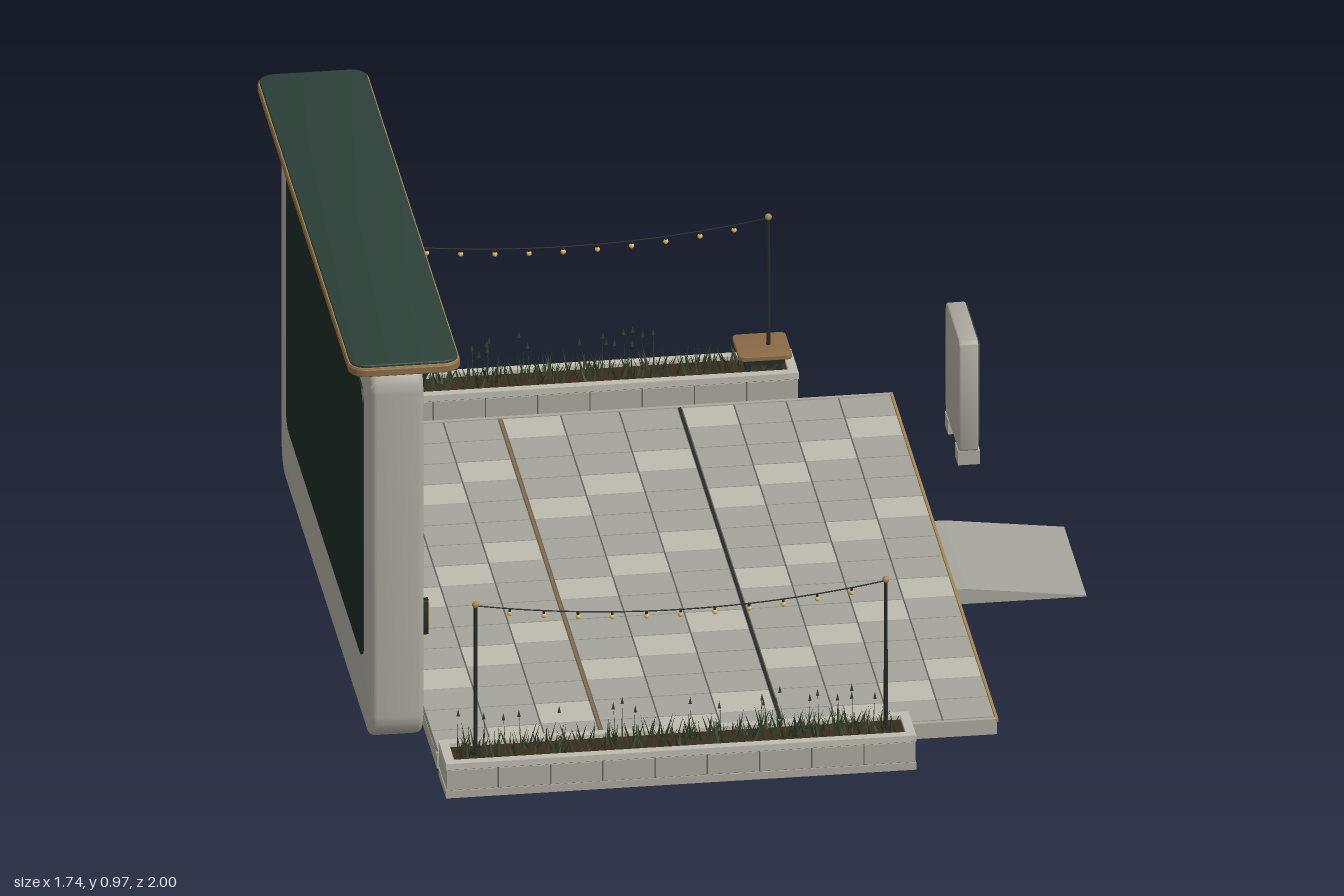
import * as THREE from 'three';
import { mergeGeometries, toCreasedNormals } from 'three/addons/utils/BufferGeometryUtils.js';

const mat = (color, side = THREE.FrontSide) => new THREE.MeshStandardMaterial({ color, side });
const STONE = mat(0xaaa79c), PALE = mat(0xbdbbae), TILE = mat(0xa5a49c), JOINT = mat(0x5f5e59);
const GREEN = mat(0x2c4038), DARKGREEN = mat(0x1d2a25), SCREEN = mat(0x202422), BLACK = mat(0x252a28);
const WOOD = mat(0x8a6a45), BRASS = mat(0xa8874f), SOIL = mat(0x3a2a1c), GLOW = mat(0xe0b45c);
const LEAF = mat(0x35412a, THREE.DoubleSide);

function add(parent, name, geometry, material) {
  const mesh = new THREE.Mesh(geometry, material);
  mesh.name = name;
  parent.add(mesh);
  return mesh;
}

// Box given by its limits on each axis
function boxGeo(x0, x1, y0, y1, z0, z1) {
  return new THREE.BoxGeometry(x1 - x0, y1 - y0, z1 - z0)
    .translate((x0 + x1) / 2, (y0 + y1) / 2, (z0 + z1) / 2);
}

function roundRect(w, h, r, Type = THREE.Shape) {
  const s = new Type(), a = w / 2, b = h / 2;
  s.moveTo(-a + r, -b);
  s.lineTo(a - r, -b).absarc(a - r, -b + r, r, -Math.PI / 2, 0);
  s.lineTo(a, b - r).absarc(a - r, b - r, r, 0, Math.PI / 2);
  s.lineTo(-a + r, b).absarc(-a + r, b - r, r, Math.PI / 2, Math.PI);
  s.lineTo(-a, -b + r).absarc(-a + r, -b + r, r, Math.PI, Math.PI * 1.5);
  return s;
}

// Rounded slab centred on the origin, extruded along z; bevel stays inside the size
function slab(w, h, depth, r, bevel = 0, hole = null) {
  const s = roundRect(w - 2 * bevel, h - 2 * bevel, r - bevel);
  if (hole) s.holes.push(hole);
  const g = new THREE.ExtrudeGeometry(s, {
    depth: depth - 2 * bevel, curveSegments: 8, bevelEnabled: bevel > 0,
    bevelThickness: bevel, bevelSize: bevel, bevelSegments: 3,
  });
  return toCreasedNormals(g.translate(0, 0, bevel - depth / 2), 0.6);
}

// Slab standing across z, facing x
function upright(x0, x1, y0, y1, z0, z1, r, bevel = 0, hole = null) {
  return slab(z1 - z0, y1 - y0, x1 - x0, r, bevel, hole).rotateY(Math.PI / 2)
    .translate((x0 + x1) / 2, (y0 + y1) / 2, (z0 + z1) / 2);
}

// Slab lying flat
function flat(x0, x1, y0, y1, z0, z1, r, bevel = 0) {
  return slab(x1 - x0, z1 - z0, y1 - y0, r, bevel).rotateX(-Math.PI / 2)
    .translate((x0 + x1) / 2, (y0 + y1) / 2, (z0 + z1) / 2);
}

function seeded(seed) {
  return () => (seed = (seed * 16807) % 2147483647) / 2147483647;
}

function makeScreenWall() {
  const g = new THREE.Group();
  g.name = 'screenWall';
  add(g, 'wallBody', upright(-0.82, -0.7, 0.005, 0.94, -0.72, 0.72, 0.07, 0.014), STONE);
  add(g, 'backPanel', upright(-0.824, -0.815, 0.165, 0.835, -0.61, 0.61, 0.04), DARKGREEN);
  add(g, 'screenFrame', upright(-0.705, -0.688, 0.16, 0.87, -0.62, 0.62, 0.03, 0.004), GREEN);
  add(g, 'screenTrim', upright(-0.69, -0.684, 0.184, 0.852, -0.586, 0.586, 0.006, 0,
    roundRect(1.156, 0.652, 0.003, THREE.Path)), BRASS);
  add(g, 'screen', boxGeo(-0.69, -0.686, 0.19, 0.846, -0.58, 0.58), SCREEN);
  for (const s of [-1, 1]) {
    const lamp = upright(-0.702, -0.685, 0.255, 0.34, -0.011, 0.011, 0.005).translate(0, 0, s * 0.675);
    add(g, 'wallLamp', lamp, BLACK);
    add(g, 'lampGlow', boxGeo(-0.686, -0.682, 0.265, 0.33, s * 0.675 - 0.005, s * 0.675 + 0.005), GLOW);
    add(g, 'ventSlot', boxGeo(-0.702, -0.698, 0.1, 0.106, s * 0.44 - 0.05, s * 0.44 + 0.05), BLACK);
    // Curved bracket under the canopy
    const arc = new THREE.QuadraticBezierCurve3(
      new THREE.Vector3(-0.697, 0.86, s * 0.655),
      new THREE.Vector3(-0.692, 0.9, s * 0.655),
      new THREE.Vector3(-0.635, 0.935, s * 0.655));
    add(g, 'canopyBracket', new THREE.TubeGeometry(arc, 12, 0.005, 8), BLACK);
    add(g, 'bracketPlate', boxGeo(-0.702, -0.694, 0.852, 0.93, s * 0.655 - 0.008, s * 0.655 + 0.008), BLACK);
  }
  return g;
}

function makeCanopy() {
  const g = new THREE.Group();
  g.name = 'canopy';
  add(g, 'canopyEdge', flat(-0.872, -0.62, 0.939, 0.957, -0.76, 0.76, 0.04, 0.003), WOOD);
  add(g, 'canopyTrim', flat(-0.87, -0.622, 0.955, 0.96, -0.758, 0.758, 0.038), BRASS);
  add(g, 'canopyTop', flat(-0.868, -0.625, 0.958, 0.966, -0.755, 0.755, 0.036, 0.003), GREEN);
  const slats = [];
  for (let i = -24; i <= 24; i++) {
    const z = i * 0.0295;
    slats.push(boxGeo(-0.86, -0.634, 0.93, 0.941, z - 0.009, z + 0.009));
  }
  add(g, 'canopySlats', mergeGeometries(slats), WOOD);
  return g;
}

function makeDeck() {
  const g = new THREE.Group();
  g.name = 'deck';
  const edges = [-0.69, -0.31, 0.095, 0.575], columns = [3, 3, 4], row = 0.104, gap = 0.0018;
  const plain = [], pale = [];
  for (let s = 0; s < 3; s++) {
    // Each bay is a separate slab with its own grid of paving
    add(g, 'deckBay', boxGeo(edges[s] + 0.001, edges[s + 1] - 0.001, 0, 0.033, -0.845, 0.845), STONE);
    add(g, 'pavingBed', boxGeo(edges[s] + 0.002, edges[s + 1] - 0.002, 0.033, 0.0345, -0.835, 0.835), JOINT);
    const w = (edges[s + 1] - edges[s] - 0.008) / columns[s];
    for (let c = 0; c < columns[s]; c++) {
      for (let r = -8; r < 8; r++) {
        const x = edges[s] + 0.004 + c * w, z = r * row;
        const tile = boxGeo(x + gap, x + w - gap, 0.034, 0.0375, z + gap, z + row - gap);
        ((c + r + 8) % 4 === 0 ? pale : plain).push(tile);
      }
    }
    if (s) add(g, 'deckSeam', boxGeo(edges[s] - 0.003, edges[s] + 0.003, 0.03, 0.0375, -0.84, 0.84), s === 1 ? WOOD : BLACK);
  }
  add(g, 'paving', mergeGeometries(plain), TILE);
  add(g, 'palePaving', mergeGeometries(pale), PALE);
  for (const s of [-1, 1]) add(g, 'deckSideTrim', boxGeo(-0.69, 0.575, 0.032, 0.0375, s * 0.84 - 0.005, s * 0.84 + 0.005), STONE);
  add(g, 'deckFrontTrim', boxGeo(0.571, 0.577, 0.03, 0.038, -0.845, 0.845), BRASS);
  // Entry ramp, a wedge extruded across z
  const wedge = new THREE.Shape();
  wedge.moveTo(0.577, 0);
  wedge.lineTo(0.87, 0).lineTo(0.87, 0.003).lineTo(0.6, 0.037).lineTo(0.577, 0.037);
  add(g, 'ramp', new THREE.ExtrudeGeometry(wedge, { depth: 0.355, bevelEnabled: false }).translate(0, 0, -0.18), TILE);
  return g;
}

function makePlanting(seed) {
  const rnd = seeded(seed), pos = [];
  for (let i = 0; i < 420; i++) {
    // Each blade is a thin leaning triangle
    const x = -0.655 + rnd() * 0.985, z = (rnd() - 0.5) * 0.07, a = rnd() * Math.PI * 2;
    const tall = i % 22 === 0, h = tall ? 0.09 + rnd() * 0.02 : 0.03 + rnd() * 0.035;
    const w = tall ? 0.002 : 0.0035, lean = tall ? 0.006 : 0.018;
    const dx = Math.cos(a), dz = Math.sin(a), b = rnd() * Math.PI * 2;
    const tx = x + Math.cos(b) * lean, tz = z + Math.sin(b) * lean;
    pos.push(x - dx * w, 0.074, z - dz * w, x + dx * w, 0.074, z + dz * w, tx, 0.074 + h, tz);
    if (tall) pos.push(tx - 0.004, 0.062 + h, tz, tx + 0.004, 0.062 + h, tz, tx, 0.08 + h, tz);
  }
  const g = new THREE.BufferGeometry();
  g.setAttribute('position', new THREE.Float32BufferAttribute(pos, 3));
  g.computeVertexNormals();
  return g;
}

function makePlanter(side) {
  const g = new THREE.Group();
  g.name = side > 0 ? 'leftPlanter' : 'rightPlanter';
  g.position.z = side * 0.9375;
  const x0 = -0.69, x1 = 0.37, d = 0.0625;
  add(g, 'planterPlinth', boxGeo(x0 + 0.003, x1 - 0.003, 0, 0.07, -d + 0.003, d - 0.003), JOINT);
  add(g, 'planterFoot', boxGeo(x0, x1, 0, 0.018, -d, d), STONE);
  // Courses of blocks with open joints
  const n = 9, w = (x1 - x0) / n, blocks = [];
  for (let i = 0; i < n; i++) blocks.push(boxGeo(x0 + i * w + 0.0015, x0 + (i + 1) * w - 0.0015, 0.02, 0.068, -d, d));
  add(g, 'planterBlocks', mergeGeometries(blocks), STONE);
  add(g, 'soil', boxGeo(x0 + 0.02, x1 - 0.02, 0.06, 0.076, -d + 0.02, d - 0.02), SOIL);
  for (const s of [-1, 1]) {
    add(g, 'planterRim', boxGeo(x0, x1, 0.07, 0.085, s * 0.052 - 0.0105, s * 0.052 + 0.0105), PALE);
    const xe = s > 0 ? x1 - 0.0105 : x0 + 0.0105;
    add(g, 'planterRim', boxGeo(xe - 0.0105, xe + 0.0105, 0.07, 0.085, -d + 0.021, d - 0.021), PALE);
  }
  add(g, 'planting', makePlanting(side > 0 ? 71 : 1307), LEAF);

  // Poles and hanging lights
  const xa = -0.615, xb = 0.31;
  for (const x of [xa, xb]) {
    add(g, 'pole', new THREE.CylinderGeometry(0.004, 0.005, 0.37, 10).translate(x, 0.26, 0), BLACK);
    add(g, 'poleFoot', new THREE.CylinderGeometry(0.011, 0.011, 0.01, 12).translate(x, 0.08, 0), BLACK);
    add(g, 'poleFinial', new THREE.SphereGeometry(0.008, 12, 8).translate(x, 0.446, 0), BRASS);
  }
  const at = t => new THREE.Vector3(xa + (xb - xa) * t, 0.443 - 0.16 * t * (1 - t), 0);
  const wire = new THREE.CatmullRomCurve3(Array.from({ length: 13 }, (_, i) => at(i / 12)));
  add(g, 'lightWire', new THREE.TubeGeometry(wire, 40, 0.0015, 6), BLACK);
  for (let i = 1; i <= 11; i++) {
    const p = at(i / 12);
    add(g, 'bulbSocket', new THREE.CylinderGeometry(0.003, 0.003, 0.008, 8).translate(p.x, p.y - 0.004, 0), BLACK);
    add(g, 'bulb', new THREE.SphereGeometry(0.006, 10, 8).translate(p.x, p.y - 0.012, 0), GLOW);
  }
  return g;
}

function makeTable() {
  const g = new THREE.Group();
  g.name = 'sideTable';
  g.position.set(0.296, 0, -0.9375);
  add(g, 'tableTop', flat(-0.06, 0.06, 0.119, 0.13, -0.061, 0.061, 0.012, 0.002), WOOD);
  add(g, 'tableSupport', boxGeo(-0.045, 0.045, 0.1, 0.119, -0.042, 0.042), BLACK);
  for (const x of [-0.035, 0.035]) add(g, 'tableLeg', boxGeo(x - 0.005, x + 0.005, 0.07, 0.1, -0.035, 0.035), BLACK);
  return g;
}

function makeSignBoard() {
  const g = new THREE.Group();
  g.name = 'signBoard';
  add(g, 'boardBody', upright(0.682, 0.726, 0.03, 0.307, -0.745, -0.525, 0.018, 0.005), STONE);
  add(g, 'boardPanel', upright(0.72, 0.73, 0.05, 0.3, -0.739, -0.531, 0.014, 0.002), GREEN);
  for (const z of [-0.715, -0.555]) add(g, 'boardFoot', boxGeo(0.68, 0.73, 0, 0.034, z - 0.025, z + 0.025), STONE);
  add(g, 'boardBase', boxGeo(0.69, 0.718, 0.012, 0.034, -0.735, -0.535), STONE);
  return g;
}

export function createModel() {
  const model = new THREE.Group();
  model.name = 'outdoorCinema';
  model.add(makeScreenWall(), makeCanopy(), makeDeck(), makePlanter(1), makePlanter(-1), makeTable(), makeSignBoard());
  return model;
}
